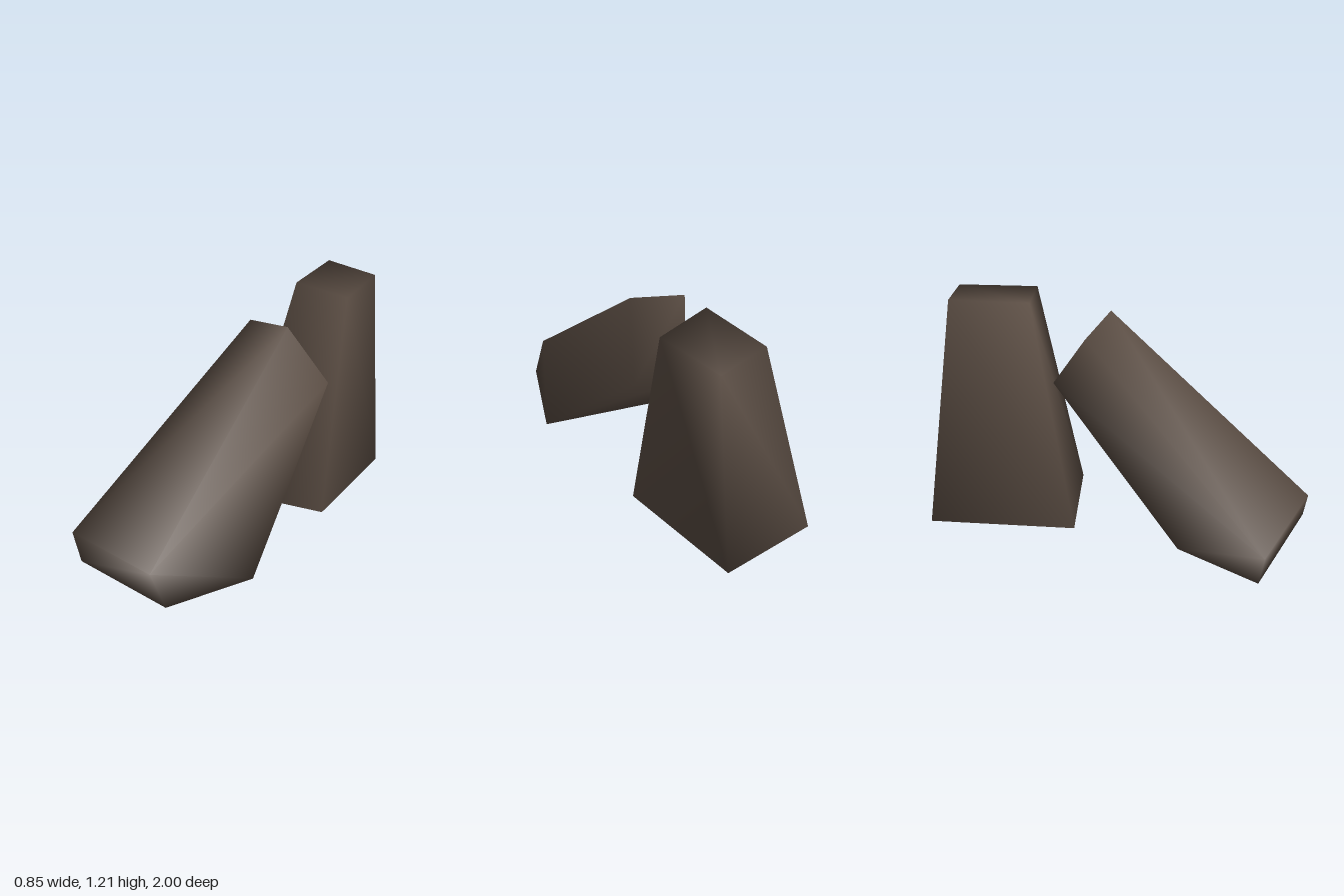
import * as THREE from 'three';

// Solid between two matching corner loops; loop a runs counter-clockwise seen from outside.
// Corners are shared, so the shading rolls smoothly over the edges.
function prism(name, a, b, material) {
  const n = a.length;
  const index = [];
  for (let i = 0; i < n; i++) {
    const j = (i + 1) % n;
    index.push(i, n + i, n + j, i, n + j, j);
  }
  for (let i = 1; i < n - 1; i++) {
    index.push(0, i, i + 1);
    index.push(n, n + i + 1, n + i);
  }
  const geometry = new THREE.BufferGeometry();
  geometry.setAttribute('position', new THREE.Float32BufferAttribute([...a, ...b].flat(), 3));
  geometry.setIndex(index);
  geometry.computeVertexNormals();
  const mesh = new THREE.Mesh(geometry, material);
  mesh.name = name;
  return mesh;
}

export function createModel() {
  const group = new THREE.Group();
  group.name = 'leaningRocks';
  const stone = new THREE.MeshStandardMaterial({ color: 0x5e5046 });
  stone.name = 'brownStone';

  // Upright tapering rock at the back: top loop, then base loop
  group.add(prism('uprightRock',
    [[0, 1.21, -0.45], [0.285, 1.17, -0.5], [0.2, 1.17, -0.9], [-0.07, 1.21, -0.86]],
    [[-0.21, 0.03, -0.17], [0.31, 0.03, -0.27], [0.19, 0.03, -1], [-0.34, 0.03, -0.92]],
    stone));

  // Slab leaning back against it: +x side loop, then -x side loop
  group.add(prism('leaningRock',
    [[0.18, 0.19, 1], [0.25, 0.02, 0.97], [0.42, 0.02, 0.5], [0.31, 0.77, -0.3], [0.205, 1.12, -0.08]],
    [[-0.425, 0.17, 0.88], [-0.4, 0, 0.85], [-0.21, 0, 0.39], [0.05, 0.74, -0.35], [-0.07, 1.08, -0.14]],
    stone));

  return group;
}
